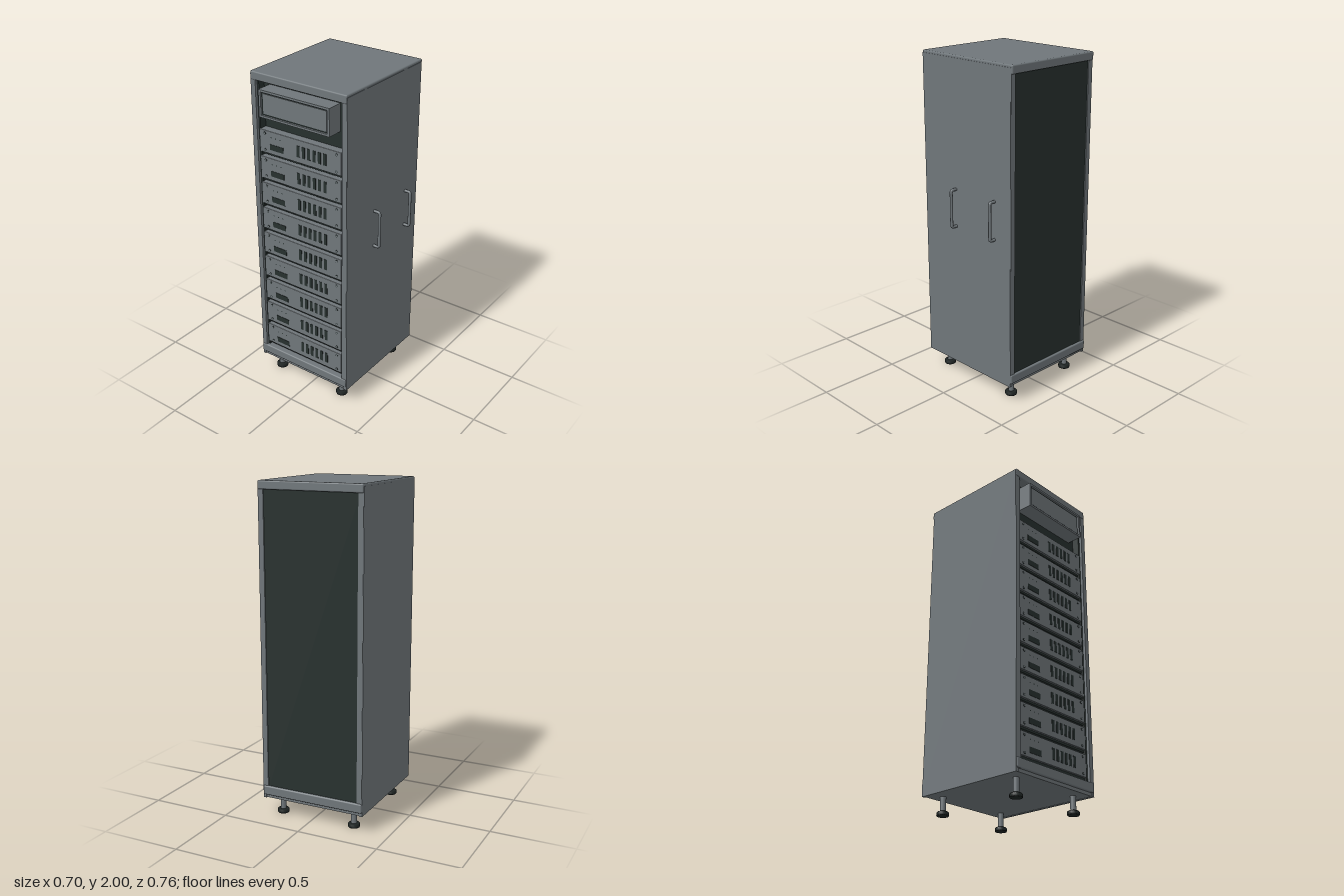
import * as THREE from 'three';
import { RoundedBoxGeometry } from 'three/addons/geometries/RoundedBoxGeometry.js';

const mat = (name, color) => {
  const m = new THREE.MeshStandardMaterial({ color });
  m.name = name;
  return m;
};

export function createModel() {
  const grey = mat('cabinet grey', 0x6f767a);
  const dark = mat('dark interior', 0x27302e);
  const black = mat('rubber black', 0x1e2423);
  const model = new THREE.Group();
  model.name = 'equipmentCabinet';

  const add = (parent, name, geometry, material, x = 0, y = 0, z = 0) => {
    const mesh = new THREE.Mesh(geometry, material);
    mesh.name = name;
    mesh.position.set(x, y, z);
    parent.add(mesh);
    return mesh;
  };
  // Box given by its limits on each axis, optionally with rounded edges
  const box = (parent, name, material, [x0, x1], [y0, y1], [z0, z1], r = 0) => {
    const size = [x1 - x0, y1 - y0, z1 - z0];
    const g = r ? new RoundedBoxGeometry(...size, 2, r) : new THREE.BoxGeometry(...size);
    return add(parent, name, g, material, (x0 + x1) / 2, (y0 + y1) / 2, (z0 + z1) / 2);
  };
  const group = (name) => {
    const g = new THREE.Group();
    g.name = name;
    model.add(g);
    return g;
  };

  // Shell: lid, base, side panels, corner posts and dark core
  const shell = group('shell');
  box(shell, 'lid', grey, [-0.349, 0.302], [1.95, 2], [-0.38, 0.345], 0.008);
  box(shell, 'basePlate', grey, [-0.345, 0.3], [0.11, 0.13], [-0.365, 0.335]);
  box(shell, 'frontBottomBar', grey, [-0.349, 0.302], [0.13, 0.187], [0.28, 0.347], 0.008);
  box(shell, 'backBottomBar', grey, [-0.349, 0.302], [0.13, 0.187], [-0.38, -0.3], 0.008);
  box(shell, 'leftSidePanel', grey, [0.285, 0.304], [0.108, 1.985], [-0.37, 0.34]);
  box(shell, 'rightSidePanel', grey, [-0.35, -0.331], [0.108, 1.985], [-0.37, 0.34]);
  for (const [side, x0, x1] of [['left', 0.27, 0.302], ['right', -0.348, -0.316]]) {
    box(shell, side + 'FrontPost', grey, [x0, x1], [0.13, 1.97], [0.28, 0.342]);
    box(shell, side + 'BackPost', grey, [x0, x1], [0.13, 1.97], [-0.372, -0.33]);
  }
  box(shell, 'darkCore', dark, [-0.33, 0.284], [0.132, 1.96], [-0.366, 0.28]);
  box(shell, 'leftInnerTrim', dark, [0.259, 0.27], [0.187, 1.95], [0.28, 0.325]);
  box(shell, 'rightInnerTrim', dark, [-0.316, -0.305], [0.187, 1.95], [0.28, 0.325]);

  // Display: protruding frame with a dark border and an inset screen
  const display = group('display');
  const frame = new THREE.Shape();
  frame.moveTo(-0.24, -0.08).lineTo(0.24, -0.08).lineTo(0.24, 0.08).lineTo(-0.24, 0.08).closePath();
  const hole = new THREE.Path();
  hole.moveTo(-0.226, -0.067).lineTo(-0.226, 0.067).lineTo(0.226, 0.067).lineTo(0.226, -0.067).closePath();
  frame.holes.push(hole);
  add(display, 'displayFrame', new THREE.ExtrudeGeometry(frame, { depth: 0.098, bevelEnabled: false }),
    grey, -0.025, 1.84, 0.28);
  box(display, 'screenBorder', dark, [-0.251, 0.201], [1.773, 1.907], [0.28, 0.366]);
  box(display, 'screen', grey, [-0.241, 0.191], [1.782, 1.898], [0.366, 0.37]);

  // Nine stacked rack units
  const screw = new THREE.CylinderGeometry(0.008, 0.008, 0.006, 12).rotateX(Math.PI / 2);
  const screwRecess = new THREE.CircleGeometry(0.0055, 10);
  const led = new THREE.CircleGeometry(0.004, 8);
  for (let i = 0; i < 9; i++) {
    const unit = group('rackUnit' + (i + 1));
    unit.position.y = 0.28 + i * 0.1645;
    box(unit, 'unitFace', grey, [-0.309, 0.257], [-0.069, 0.069], [0.275, 0.33], 0.004);
    box(unit, 'unitLowerLip', dark, [-0.305, 0.255], [-0.082, -0.069], [0.275, 0.318]);
    box(unit, 'readout', dark, [-0.235, -0.14], [-0.042, -0.008], [0.327, 0.332]);
    for (let k = 0; k < 6; k++) {
      const x = -0.035 + k * 0.0365;
      box(unit, 'ventSlot', dark, [x - 0.01, x + 0.01], [-0.034, 0.034], [0.327, 0.332]);
    }
    for (let k = 0; k < 3; k++) add(unit, 'indicator', led, dark, -0.225 + k * 0.032, 0.034, 0.3315);
    for (const x of [-0.272, 0.225]) for (const y of [-0.05, 0.05]) {
      add(unit, 'screw', screw, dark, x, y, 0.329);
      add(unit, 'screwCentre', screwRecess, grey, x, y, 0.3325);
    }
  }

  // Two bar handles on the left side
  const path = new THREE.CurvePath();
  const v = (x, y) => new THREE.Vector3(x, y, 0);
  path.add(new THREE.LineCurve3(v(0.295, -0.113), v(0.328, -0.113)));
  path.add(new THREE.QuadraticBezierCurve3(v(0.328, -0.113), v(0.341, -0.113), v(0.341, -0.1)));
  path.add(new THREE.LineCurve3(v(0.341, -0.1), v(0.341, 0.1)));
  path.add(new THREE.QuadraticBezierCurve3(v(0.341, 0.1), v(0.341, 0.113), v(0.328, 0.113)));
  path.add(new THREE.LineCurve3(v(0.328, 0.113), v(0.295, 0.113)));
  const handle = new THREE.TubeGeometry(path, 80, 0.009, 10);
  for (const z of [0.075, -0.245]) add(model, 'sideHandle', handle, grey, 0, 1.113, z);

  // Four levelling feet
  const pad = new THREE.LatheGeometry([[0, 0], [0.034, 0], [0.036, 0.004], [0.036, 0.019], [0.03, 0.025], [0, 0.025]]
    .map(([x, y]) => new THREE.Vector2(x, y)), 20);
  const rod = new THREE.CylinderGeometry(0.017, 0.017, 0.1, 16);
  for (const x of [-0.262, 0.213]) for (const z of [-0.29, 0.26]) {
    add(model, 'footPad', pad, black, x, 0, z);
    add(model, 'footRod', rod, grey, x, 0.07, z);
  }
  return model;
}
